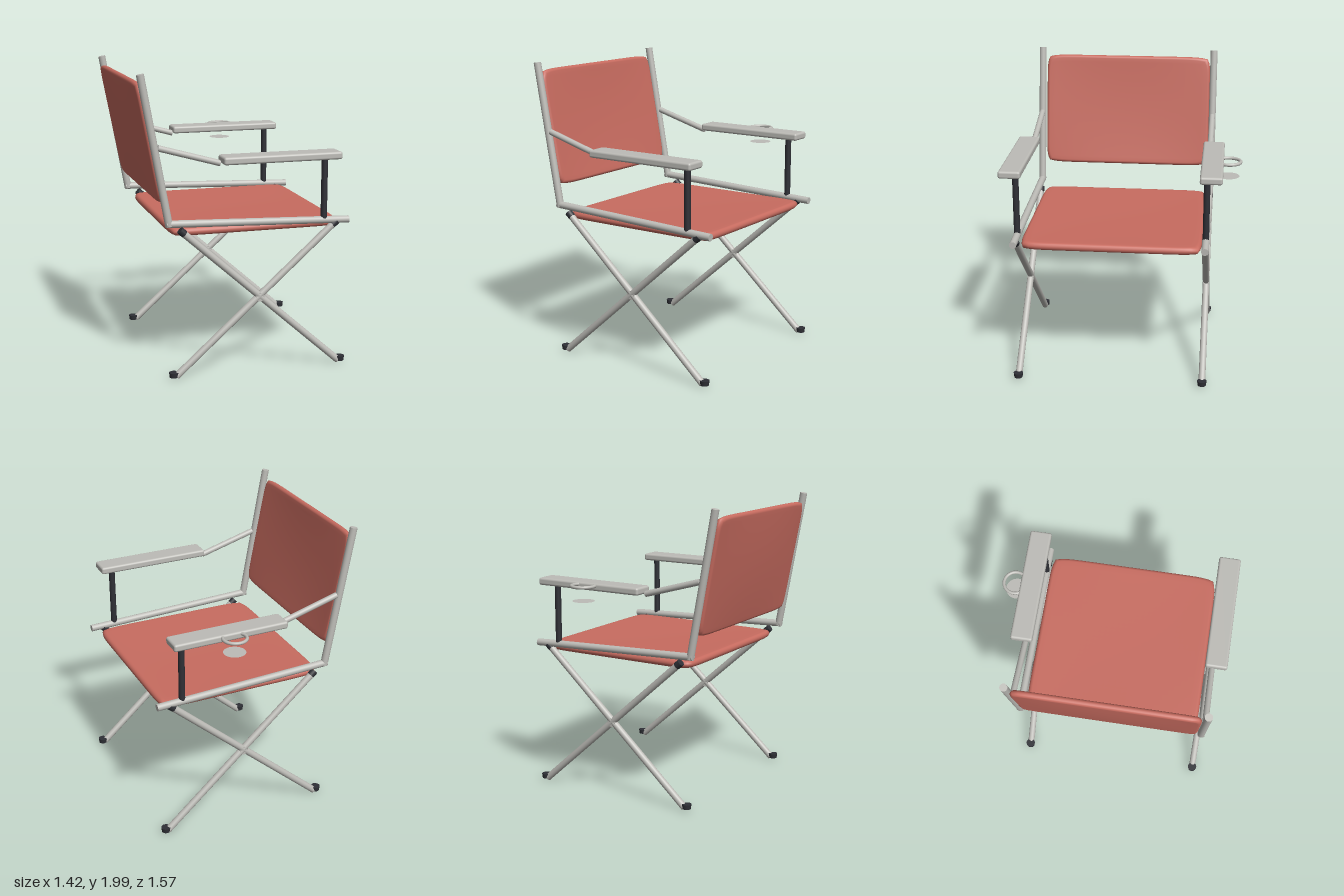
import * as THREE from 'three';
import { mergeVertices } from 'three/addons/utils/BufferGeometryUtils.js';
import { RoundedBoxGeometry } from 'three/addons/geometries/RoundedBoxGeometry.js';

const material = (name, color) => {
  const m = new THREE.MeshStandardMaterial({ color });
  m.name = name;
  return m;
};

function named(name, geometry, mat) {
  const mesh = new THREE.Mesh(geometry, mat);
  mesh.name = name;
  return mesh;
}

// Straight round tube between two [x, y] points in the plane of a side frame
function tube(name, a, b, radius, mat) {
  const from = new THREE.Vector3(a[0], a[1], 0);
  const to = new THREE.Vector3(b[0], b[1], 0);
  const dir = to.clone().sub(from);
  const mesh = named(name, new THREE.CylinderGeometry(radius, radius, dir.length(), 20), mat);
  mesh.position.copy(from).add(to).multiplyScalar(0.5);
  mesh.quaternion.setFromUnitVectors(new THREE.Vector3(0, 1, 0), dir.normalize());
  return mesh;
}

// Fabric panel: rounded edges, softened corners and a slight sag towards -z
function cushion(name, w, h, t, sag, mat) {
  let g = new THREE.BoxGeometry(2, 2, 2, 28, 28, 8);
  g.deleteAttribute('normal');
  g.deleteAttribute('uv');
  g = mergeVertices(g);
  const p = g.attributes.position;
  for (let i = 0; i < p.count; i++) {
    const u = p.getX(i), v = p.getY(i), a = p.getZ(i) * Math.PI / 2;
    const inset = t / 2 * (1 - Math.cos(a));
    p.setXYZ(i,
      u * (w / 2 - inset) * (1 - 0.035 * v ** 12),
      v * (h / 2 - inset) * (1 - 0.035 * u ** 12),
      t / 2 * Math.sin(a) - sag * (1 - u * u) * (1 - v * v));
  }
  g.computeVertexNormals();
  return named(name, g, mat);
}

export function createModel() {
  const metal = material('grey metal', 0xbdbcb7);
  const fabric = material('red fabric', 0xc86c60);
  const dark = material('dark plastic', 0x2f3036);

  const chair = new THREE.Group();
  chair.name = 'foldingChair';
  const midZ = 0.06;

  // Two mirrored side frames
  for (const side of [1, -1]) {
    const frame = new THREE.Group();
    frame.name = side > 0 ? 'nearSideFrame' : 'farSideFrame';
    frame.position.z = midZ + side * 0.623;

    frame.add(
      tube('backPost', [-0.51, 1.03], [-0.685, 1.995], 0.025, metal),
      tube('seatRail', [-0.53, 1.045], [0.71, 0.998], 0.024, metal),
      tube('armStrut', [-0.58, 1.535], [-0.175, 1.42], 0.02, metal),
      tube('armPost', [0.535, 1.01], [0.535, 1.43], 0.021, dark),
      tube('frontLeg', [-0.43, 0.99], [0.655, 0.022], 0.023, metal),
      tube('backLeg', [0.61, 0.98], [-0.47, 0.022], 0.023, metal),
      tube('frontLegJoint', [-0.44, 1.0], [-0.41, 0.973], 0.025, dark),
      tube('backLegJoint', [0.625, 0.993], [0.595, 0.967], 0.025, dark)
    );

    // Pivot at the leg crossing
    const pivot = named('legPivot', new THREE.CylinderGeometry(0.03, 0.03, 0.04, 16), metal);
    pivot.rotation.x = Math.PI / 2;
    pivot.position.set(0.095, 0.517, 0);
    frame.add(pivot);

    // Rubber feet
    for (const x of [-0.487, 0.67]) {
      const foot = named('foot', new THREE.CylinderGeometry(0.032, 0.028, 0.032, 20), dark);
      foot.position.set(x, 0.034, 0);
      frame.add(foot);
    }

    // Armrest, set slightly outwards
    const arm = named('armrest', new RoundedBoxGeometry(0.795, 0.05, 0.147, 4, 0.015), metal);
    arm.position.set(0.223, 1.445, side * 0.027);
    frame.add(arm);
    chair.add(frame);
  }

  // Seat
  const seat = cushion('seat', 1.15, 1.19, 0.052, 0.008, fabric);
  seat.rotation.x = -Math.PI / 2;
  seat.position.set(0.09, 0.974, 0.056);
  chair.add(seat);

  // Backrest, leaning with the posts
  const backrest = new THREE.Group();
  backrest.name = 'backrest';
  const panel = cushion('backPanel', 1.19, 0.79, 0.042, 0.012, fabric);
  panel.rotation.y = Math.PI / 2;
  backrest.add(panel);
  backrest.position.set(-0.617, 1.555, 0.056);
  backrest.rotation.z = 0.19;
  chair.add(backrest);

  // Cup holder ring with its base plate below
  const ring = named('cupRing', new THREE.TorusGeometry(0.077, 0.011, 12, 40), metal);
  ring.rotation.x = Math.PI / 2;
  ring.position.set(0.225, 1.455, -0.698);
  const plate = named('cupPlate', new THREE.CircleGeometry(0.074, 40), metal);
  plate.rotation.x = -Math.PI / 2;
  plate.position.set(0.225, 1.355, -0.695);
  chair.add(ring, plate);

  return chair;
}
